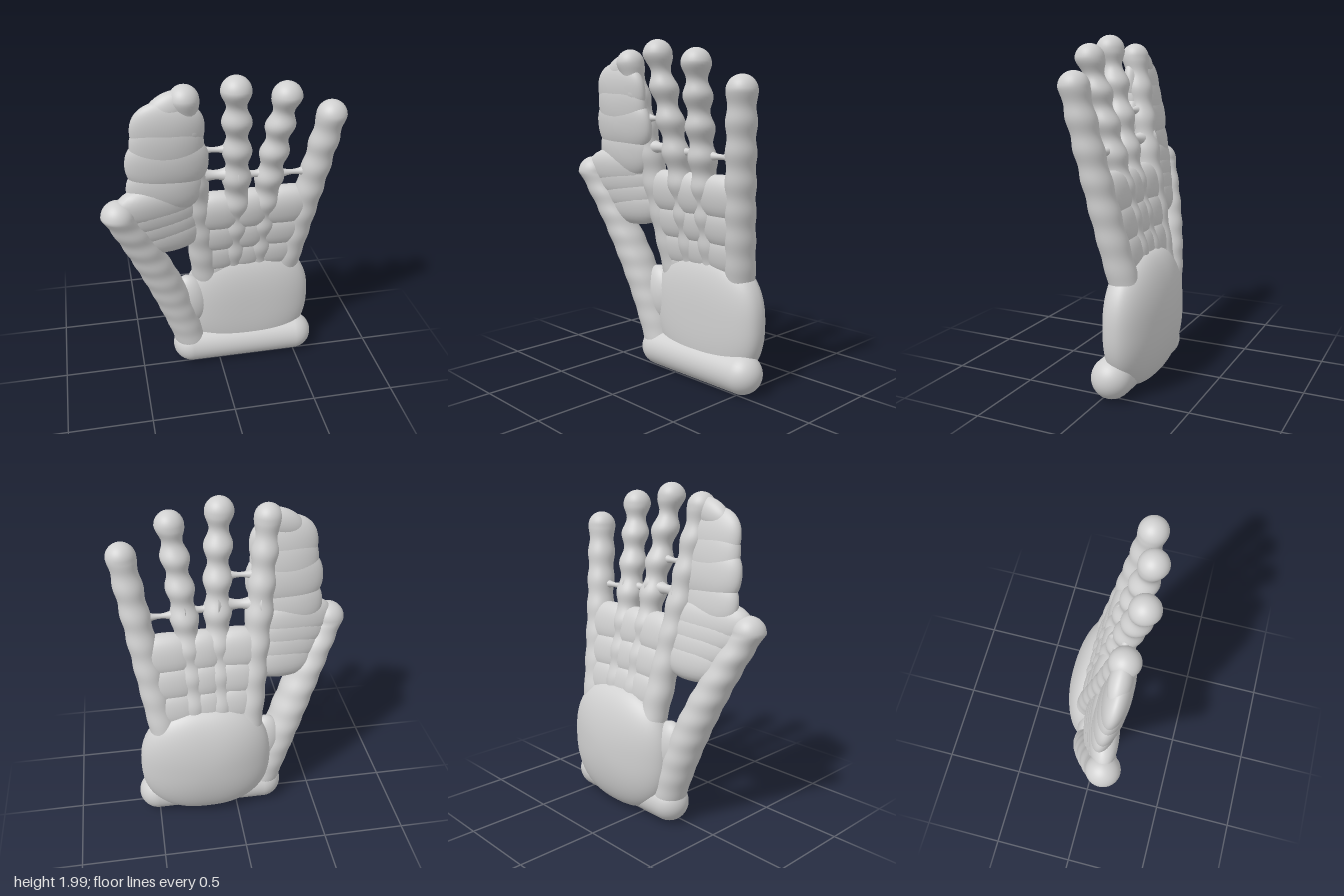
import * as THREE from 'three';
import { mergeVertices } from 'three/addons/utils/BufferGeometryUtils.js';

const grey = new THREE.MeshStandardMaterial({ color: 0xd0d0d0 });
grey.name = 'plain grey';

// Weld the seams so the normals run smoothly all round
function smooth(geometry) {
  geometry.deleteAttribute('uv');
  geometry.deleteAttribute('normal');
  const welded = mergeVertices(geometry, 1e-5);
  welded.computeVertexNormals();
  return welded;
}

function addPart(parent, name, geometry) {
  const mesh = new THREE.Mesh(geometry, grey);
  mesh.name = name;
  parent.add(mesh);
  return mesh;
}

// Squared-off ellipsoid: p rounds the outline, front and back round the depth
function blob(parent, name, [x, y, z], [rx, ry, rz, rzBack = rz], p = 2, front = 2, back = 2, detail = 24) {
  const g = new THREE.SphereGeometry(1, detail * 2, detail);
  const pos = g.attributes.position;
  for (let i = 0; i < pos.count; i++) {
    const a = pos.getX(i), b = pos.getY(i), c = pos.getZ(i);
    const u = Math.pow(Math.abs(a) ** p + Math.abs(b) ** p, 1 / p);
    const q = c > 0 ? front : back;
    const s = Math.pow(u ** q + Math.abs(c) ** q, -1 / q);
    pos.setXYZ(i, a * s * rx, b * s * ry, c * s * (c > 0 ? rz : rzBack));
  }
  const mesh = addPart(parent, name, smooth(g));
  mesh.position.set(x, y, z);
  return mesh;
}

// Smooth curve through three points, as a function of height
function through(points, axis, y) {
  return points.reduce((sum, p, i) => {
    let w = p[axis];
    points.forEach((o, j) => { if (j !== i) w *= (y - o[1]) / (p[1] - o[1]); });
    return sum + w;
  }, 0);
}

const pointAt = (path, y) => new THREE.Vector3(through(path, 0, y), y, through(path, 2, y));

// Beaded finger: a turned profile whose rings follow the path base, middle, tip
function finger(parent, name, path, { tip, neck, base, spacing, swell = 0 }) {
  const [y0, yTip] = [path[0][1], path[2][1]];
  const profile = [new THREE.Vector2(0, y0)];
  const steps = 90;
  for (let i = 0; i < steps; i++) {
    const t = i / steps;
    const y = y0 + (yTip - y0) * t;
    const wave = 0.5 - 0.5 * Math.cos(2 * Math.PI * (yTip - y) / spacing);
    const radius = THREE.MathUtils.lerp(base, tip, t) + swell * Math.sin(Math.PI * t);
    profile.push(new THREE.Vector2(radius - wave * (tip - neck) * (0.25 + 0.75 * t), y));
  }
  for (let i = 0; i <= 12; i++) {
    const a = i / 12 * Math.PI / 2;
    profile.push(new THREE.Vector2(i === 12 ? 0 : tip * Math.cos(a), yTip + tip * Math.sin(a)));
  }
  const g = new THREE.LatheGeometry(profile, 32);
  const pos = g.attributes.position;
  for (let i = 0; i < pos.count; i++) {
    const y = Math.min(pos.getY(i), yTip);
    pos.setX(i, pos.getX(i) + through(path, 0, y));
    pos.setZ(i, pos.getZ(i) + through(path, 2, y));
  }
  return addPart(parent, name, smooth(g));
}

// Waisted strand of webbing between two points
function bridge(parent, from, to, waist) {
  const profile = [];
  const length = from.distanceTo(to);
  for (let i = -8; i <= 8; i++) {
    const s = i / 8;
    profile.push(new THREE.Vector2(waist + 0.055 * s * s, s * length / 2));
  }
  const mesh = addPart(parent, 'webBridge', smooth(new THREE.LatheGeometry(profile, 20)));
  mesh.position.copy(from).add(to).multiplyScalar(0.5);
  mesh.quaternion.setFromUnitVectors(new THREE.Vector3(0, 1, 0), to.clone().sub(from).normalize());
}

// Flat swelling that fills the space between two points
function ridge(parent, a, b, reach, height, depth) {
  const mesh = blob(parent, 'webRidge', a.clone().add(b).multiplyScalar(0.5).toArray(),
    [(b.x - a.x) * reach, height, depth], 2.4, 2.3, 2.3, 16);
  mesh.rotation.set(0.18, -Math.atan2(b.z - a.z, b.x - a.x), 0);
}

export function createModel() {
  const hand = new THREE.Group();
  hand.name = 'hand';

  // Rolled cuff at the wrist
  const cuff = addPart(hand, 'wristCuff', new THREE.CapsuleGeometry(0.118, 0.68, 16, 36));
  cuff.rotation.z = Math.PI / 2;
  cuff.position.set(0.162, 0.118, -0.043);

  // Heel of the hand, flatter at the front and domed at the back
  blob(hand, 'palm', [0.19, 0.4, -0.1], [0.405, 0.39, 0.145, 0.17], 2.4, 2.7, 2, 40);

  // Four fingers
  const paths = {
    indexFinger: [[-0.07, 0.6, -0.09], [-0.155, 1.3, 0.05], [-0.22, 1.87, 0.155]],
    middleFinger: [[0.09, 0.6, -0.1], [0.085, 1.3, 0.06], [0.05, 1.91, 0.187]],
    ringFinger: [[0.25, 0.6, -0.1], [0.275, 1.3, 0.05], [0.33, 1.855, 0.167]],
    littleFinger: [[0.43, 0.6, -0.1], [0.535, 1.25, 0.03], [0.605, 1.71, 0.11]]
  };
  const shapes = {
    indexFinger: { tip: 0.082, neck: 0.066, base: 0.09, spacing: 0.18 },
    middleFinger: { tip: 0.084, neck: 0.054, base: 0.088, spacing: 0.185 },
    ringFinger: { tip: 0.084, neck: 0.057, base: 0.088, spacing: 0.173 },
    littleFinger: { tip: 0.086, neck: 0.075, base: 0.09, spacing: 0.165 }
  };
  for (const name in paths) finger(hand, name, paths[name], shapes[name]);

  // Thumb and the fold where it meets the palm
  const thumbPath = [[-0.165, 0.1, -0.045], [-0.385, 0.75, 0.02], [-0.6, 1.21, 0.143]];
  finger(hand, 'thumb', thumbPath, { tip: 0.097, neck: 0.09, base: 0.1, spacing: 0.13, swell: 0.016 });
  blob(hand, 'thumbFold', [-0.18, 0.46, -0.05], [0.12, 0.18, 0.085]).rotation.z = 0.15;

  // Ridged webbing between neighbouring fingers
  const web = new THREE.Group();
  web.name = 'fingerWebbing';
  hand.add(web);
  const order = Object.values(paths);
  const bridges = [[[1.385, 0.028], [1.555, 0.015]], [[1.37, 0.02]], [[1.355, 0.015]]];
  for (let k = 0; k < 3; k++) {
    const [left, right] = [order[k], order[k + 1]];
    for (const y of [0.66, 0.79, 0.955, 1.12]) {
      ridge(web, pointAt(left, y), pointAt(right, y), 0.78, 0.135, 0.08);
    }
    for (const [y, waist] of bridges[k]) bridge(web, pointAt(left, y), pointAt(right, y), waist);
  }

  // Broad webbing from thumb to index finger
  const thumbWeb = new THREE.Group();
  thumbWeb.name = 'thumbWebbing';
  hand.add(thumbWeb);
  for (const [thumbY, indexY] of [[0.97, 1.07], [1.06, 1.14], [1.14, 1.22], [1.2, 1.3]]) {
    ridge(thumbWeb, pointAt(thumbPath, thumbY), pointAt(paths.indexFinger, indexY), 0.56, 0.125, 0.082);
  }

  // Swollen lobes beside the index finger, with the flesh that joins them
  const lobes = [
    ['lobeRoot', [-0.33, 1.35, 0.105], [0.215, 0.17, 0.078]],
    ['lowerLobe', [-0.315, 1.51, 0.125], [0.23, 0.185, 0.083]],
    ['lobeWaist', [-0.315, 1.61, 0.138], [0.202, 0.2, 0.08]],
    ['upperLobe', [-0.31, 1.71, 0.15], [0.2, 0.17, 0.072]]
  ];
  for (const [name, centre, size] of lobes) blob(hand, name, centre, size, 2.3).rotation.x = 0.14;
  const shoulder = blob(hand, 'lobeShoulder', [-0.3, 1.83, 0.155], [0.14, 0.085, 0.06]);
  shoulder.rotation.z = 0.45;

  return hand;
}
